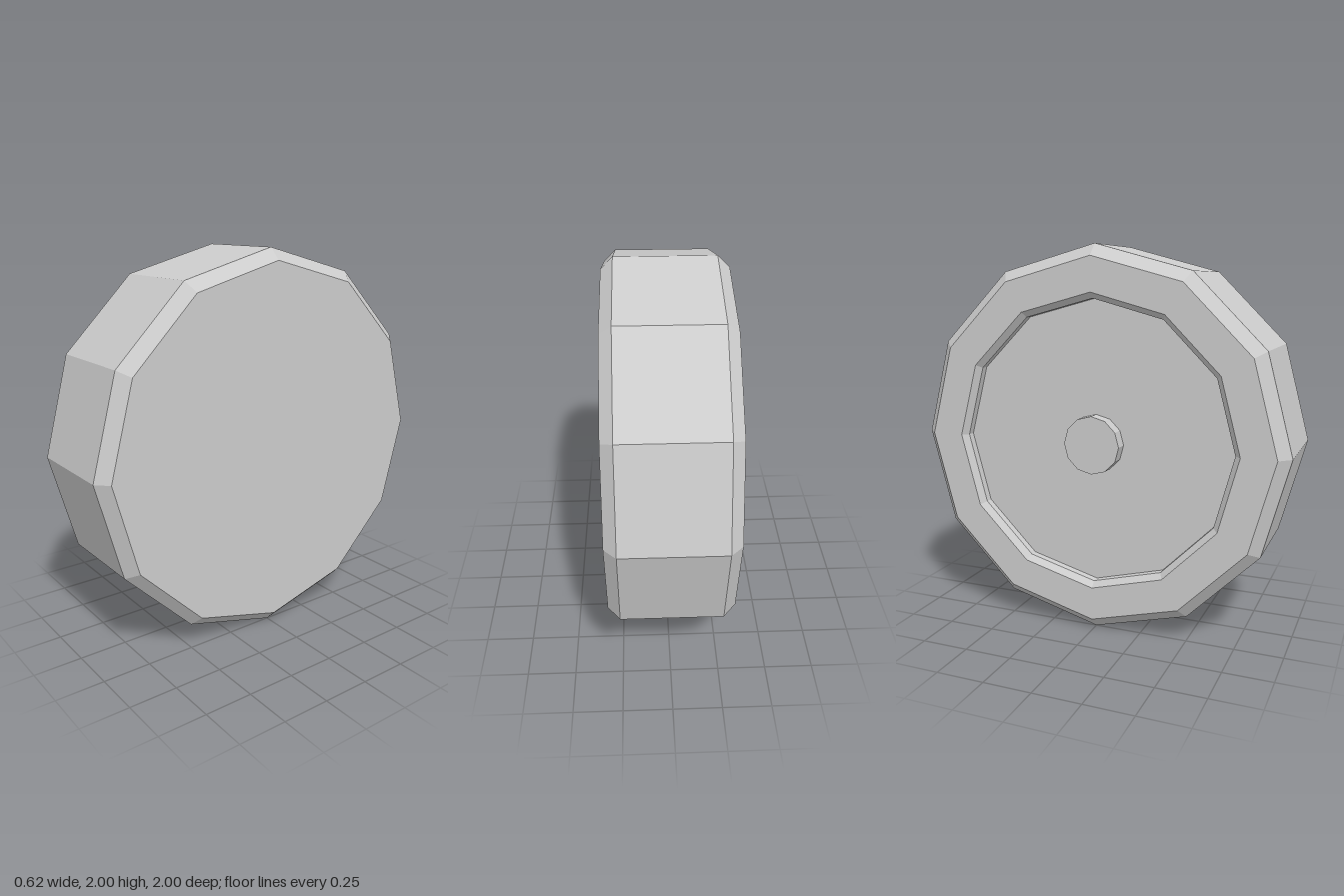
import * as THREE from 'three';

const SIDES = 12;

// Revolves an [radius, height] profile about the x axis; positive height points to -x.
function turned(name, profile, material) {
  const points = profile.map(([r, h]) => new THREE.Vector2(r, h));
  const geometry = new THREE.LatheGeometry(points, SIDES);
  geometry.rotateZ(Math.PI / 2);
  const mesh = new THREE.Mesh(geometry, material);
  mesh.name = name;
  mesh.position.y = 1;
  return mesh;
}

export function createModel() {
  const group = new THREE.Group();
  group.name = 'wheel';
  const grey = new THREE.MeshStandardMaterial({ color: 0xcccccc, flatShading: true });
  grey.name = 'plain grey';

  // Bevelled disc: flat on +x, chamfered shallow recess on -x
  group.add(turned('wheelBody', [
    [0, -0.31], [0.94, -0.31], [1, -0.25],
    [1, 0.25], [0.94, 0.31],
    [0.765, 0.31], [0.735, 0.28], [0.735, 0.24], [0, 0.24],
  ], grey));

  // Hub rising from the recess floor, level with the rim
  group.add(turned('hub', [[0.15, 0.235], [0.15, 0.31], [0, 0.31]], grey));

  return group;
}
